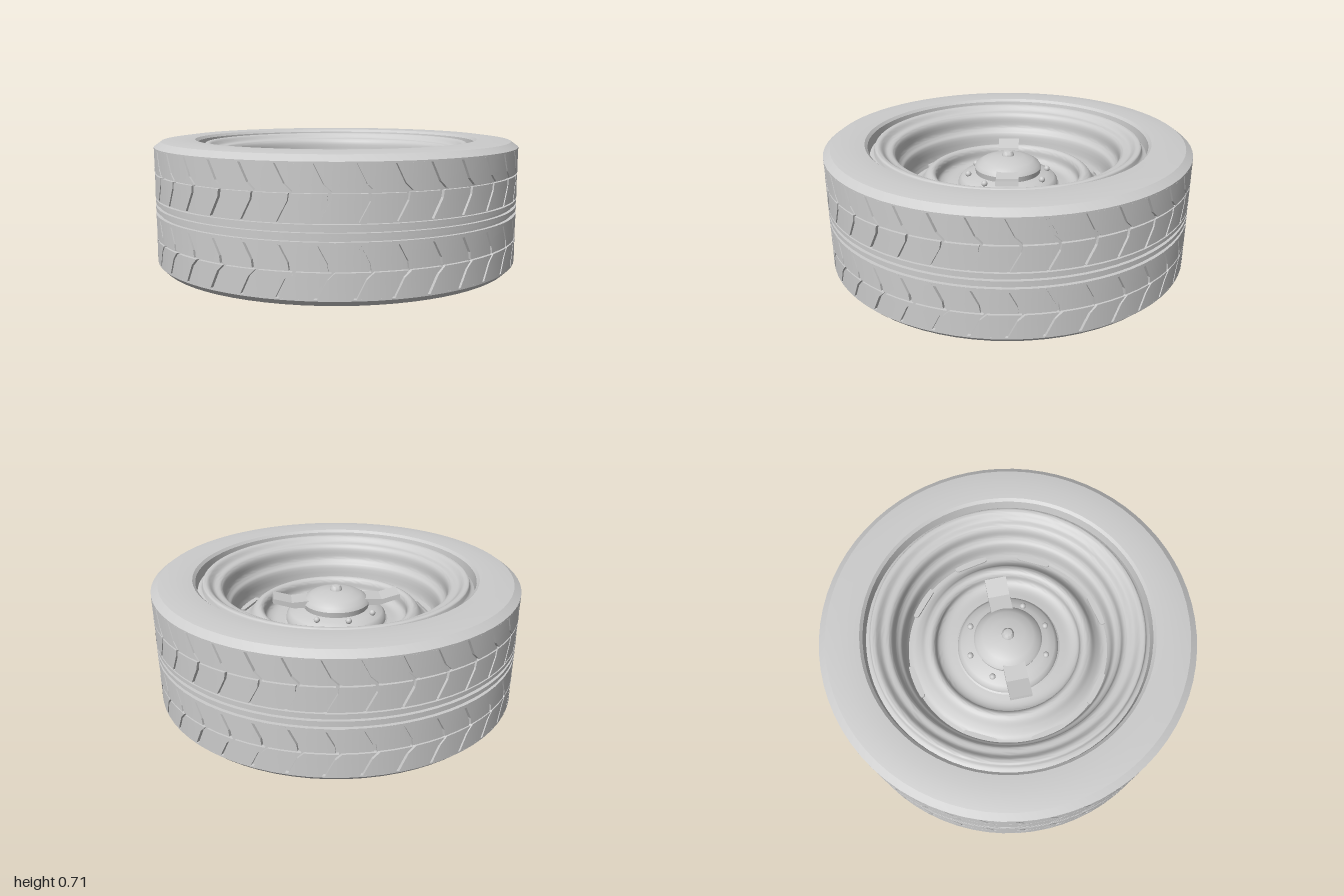
import * as THREE from 'three';
import { mergeGeometries, toCreasedNormals } from 'three/addons/utils/BufferGeometryUtils.js';

const PITCHES = 36;
const material = new THREE.MeshStandardMaterial({ color: 0xcccccc, side: THREE.DoubleSide });

function addMesh(parent, name, geometry) {
  const mesh = new THREE.Mesh(geometry, material);
  mesh.name = name;
  parent.add(mesh);
  return mesh;
}

// Profiles run from the underside, outwards, up and back in.
function lathe(profile, crease = 0.5, segments = 72) {
  const points = profile.map(([r, y]) => new THREE.Vector2(r, y));
  return toCreasedNormals(new THREE.LatheGeometry(points, segments), crease);
}

function smoothProfile(profile, count) {
  const curve = new THREE.CatmullRomCurve3(profile.map(([r, y]) => new THREE.Vector3(r, y, 0)), false, 'centripetal');
  return curve.getPoints(count).map(p => [Math.max(p.x, 0), p.y]);
}

// Chevron tread block, extruded flat and then wrapped around the tyre.
function treadBlock(edge, angle) {
  const step = Math.PI * 2 / PITCHES;
  const width = step - 0.015;
  const left = edge.map(([u, y]) => new THREE.Vector2(u, y));
  const right = edge.map(([u, y]) => new THREE.Vector2(u + width, y)).reverse();
  const first = edge[0], last = edge[edge.length - 1];
  const topMid = new THREE.Vector2(last[0] + width / 2, last[1]);
  const lowMid = new THREE.Vector2(first[0] + width / 2, first[1]);
  const shape = new THREE.Shape([...left, topMid, ...right, lowMid]);
  const g = new THREE.ExtrudeGeometry(shape, { depth: 0.018, bevelEnabled: false });
  const p = g.attributes.position, n = g.attributes.normal;
  const caps = [];
  for (let i = 0; i < p.count; i++) {
    caps.push(n.getZ(i) > 0.9);
    const a = p.getX(i) + angle, r = 0.98 + p.getZ(i);
    p.setXYZ(i, r * Math.sin(a), p.getY(i), r * Math.cos(a));
  }
  g.computeVertexNormals();
  for (let i = 0; i < p.count; i++) {
    if (caps[i]) {
      const l = Math.hypot(p.getX(i), p.getZ(i));
      n.setXYZ(i, p.getX(i) / l, 0, p.getZ(i) / l);
    }
  }
  return g;
}

function createTyre() {
  const tyre = new THREE.Group();
  tyre.name = 'tyre';
  // Carcass: flat underside, shoulders, grooved centre and upper sidewall
  addMesh(tyre, 'carcass', lathe([
    [0.77, 0], [0.8, 0], [0.97, 0.03], [0.998, 0.058], [0.998, 0.066], [0.98, 0.066],
    [0.98, 0.305], [0.998, 0.305], [0.998, 0.322], [0.98, 0.322], [0.98, 0.34],
    [0.998, 0.34], [0.998, 0.362], [0.98, 0.362], [0.98, 0.38], [0.998, 0.38],
    [0.998, 0.4], [0.98, 0.4], [0.98, 0.664], [0.998, 0.664], [0.998, 0.672],
    [0.96, 0.7], [0.87, 0.712], [0.78, 0.706], [0.765, 0.692], [0.755, 0.63],
  ]));
  // Chevron blocks in an upper and a lower row, each split by a thin groove
  const upper = [
    [[0.0, 0.408], [0.05, 0.5], [0.055, 0.534]],
    [[0.07, 0.542], [0.035, 0.575], [-0.01, 0.664]],
  ];
  const lower = upper.map(e => e.map(([u, y]) => [u, 0.728 - y]).reverse());
  const blocks = [];
  for (let i = 0; i < PITCHES; i++) {
    for (const edge of [...upper, ...lower]) blocks.push(treadBlock(edge, i * Math.PI * 2 / PITCHES));
  }
  addMesh(tyre, 'treadBlocks', mergeGeometries(blocks));
  return tyre;
}

function createRim() {
  const rim = new THREE.Group();
  rim.name = 'rim';
  addMesh(rim, 'backPlate', lathe([[0, 0.002], [0.77, 0.002]]));
  // Outer lip and stepped barrel
  addMesh(rim, 'lip', lathe(smoothProfile([
    [0.757, 0.64], [0.735, 0.655], [0.725, 0.685], [0.7, 0.685], [0.67, 0.658], [0.635, 0.652],
    [0.618, 0.63], [0.612, 0.57], [0.6, 0.55], [0.582, 0.53], [0.572, 0.44], [0.56, 0.41],
  ], 44), 0.8, 96));
  // Pressed disc with raised ridge and inner valley
  addMesh(rim, 'wheelDisc', lathe(smoothProfile([
    [0.57, 0.41], [0.53, 0.415], [0.49, 0.45], [0.455, 0.5], [0.425, 0.512], [0.403, 0.495],
    [0.395, 0.44], [0.36, 0.42], [0.29, 0.425],
  ], 36), 0.8, 96));
  // Oblong vents around the disc
  const slot = new THREE.Shape();
  slot.absarc(0.08, 0, 0.017, -Math.PI / 2, Math.PI / 2);
  slot.absarc(-0.08, 0, 0.017, Math.PI / 2, Math.PI * 1.5);
  const slotGeometry = new THREE.ExtrudeGeometry(slot, { depth: 0.012, bevelEnabled: false, curveSegments: 6 });
  slotGeometry.rotateX(-Math.PI / 2);
  for (const degrees of [0, 51, 90, 129, 180, 231, 270, 309]) {
    const a = degrees * Math.PI / 180;
    const vent = addMesh(rim, 'vent', slotGeometry);
    vent.position.set(0.55 * Math.sin(a), 0.415, 0.55 * Math.cos(a));
    vent.rotation.y = a;
  }
  return rim;
}

function createHub() {
  const hub = new THREE.Group();
  hub.name = 'hub';
  addMesh(hub, 'hubPlate', lathe([
    [0.3, 0.42], [0.282, 0.43], [0.278, 0.455], [0.26, 0.475], [0.22, 0.49], [0.18, 0.5],
  ], 0.6));
  // Domed centre cap with a small tip
  addMesh(hub, 'centreCap', lathe([
    [0.18, 0.49], [0.187, 0.53], [0.175, 0.55], [0.14, 0.572], [0.09, 0.588],
    [0.034, 0.594], [0.032, 0.605], [0.022, 0.617], [0, 0.622],
  ], 0.6, 48));
  // Bolts
  const bolt = new THREE.SphereGeometry(0.017, 14, 10);
  for (let i = 0; i < 8; i++) {
    if (i === 2 || i === 6) continue;
    const a = i * Math.PI / 4;
    addMesh(hub, 'bolt', bolt).position.set(0.225 * Math.sin(a), 0.497, 0.225 * Math.cos(a));
  }
  // Two opposed spinner wings, bent slightly upwards towards their ends
  const side = new THREE.Shape([
    [0.15, 0.515], [0.24, 0.515], [0.355, 0.55], [0.35, 0.575], [0.25, 0.548], [0.15, 0.555],
  ].map(([x, y]) => new THREE.Vector2(x, y)));
  const wing = new THREE.ExtrudeGeometry(side, { depth: 0.12, bevelEnabled: false });
  wing.translate(0, 0, -0.06);
  for (const turn of [0, Math.PI]) {
    addMesh(hub, 'spinnerWing', wing).rotation.y = turn - 0.2;
  }
  return hub;
}

export function createModel() {
  const wheel = new THREE.Group();
  wheel.name = 'wheel';
  wheel.add(createTyre(), createRim(), createHub());
  return wheel;
}
